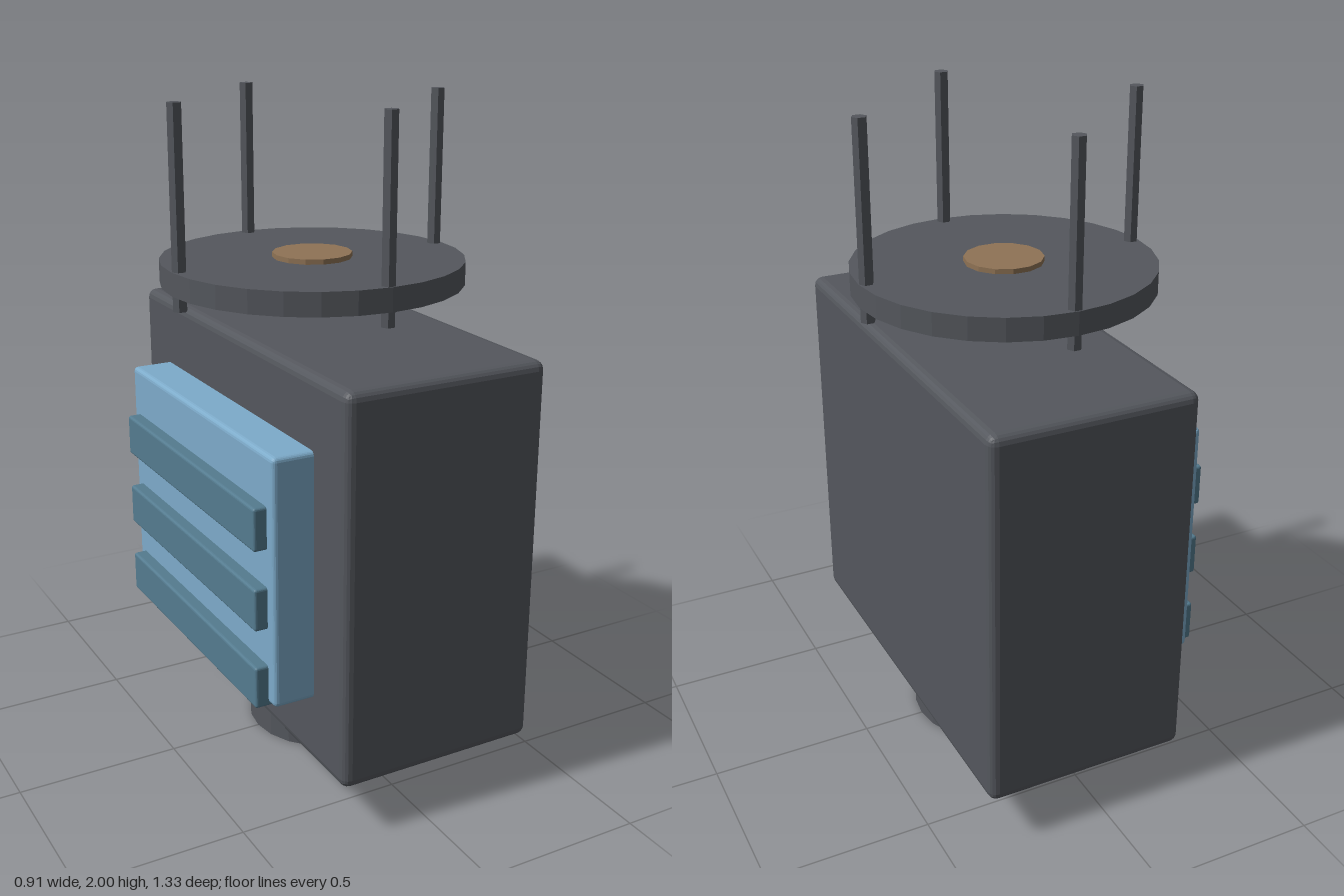
import * as THREE from 'three';
import { RoundedBoxGeometry } from 'three/addons/geometries/RoundedBoxGeometry.js';

export function createModel() {
  const model = new THREE.Group();
  model.name = 'machineBox';

  const material = (name, color, flatShading = false) => {
    const m = new THREE.MeshStandardMaterial({ color, flatShading });
    m.name = name;
    return m;
  };
  const darkGrey = material('darkGrey', 0x54575d, true);
  const lightBlue = material('lightBlue', 0x7dabca, true);
  const slateBlue = material('slateBlue', 0x547b8f, true);
  const bronze = material('bronze', 0x8f7355, true);

  const add = (name, geometry, mat) => {
    const mesh = new THREE.Mesh(geometry, mat);
    mesh.name = name;
    model.add(mesh);
    return mesh;
  };

  // Bevelled box given by its limits on each axis
  const block = (name, mat, [x0, x1], [y0, y1], [z0, z1], bevel) => {
    const geo = new RoundedBoxGeometry(x1 - x0, y1 - y0, z1 - z0, 2, bevel);
    add(name, geo, mat).position.set((x0 + x1) / 2, (y0 + y1) / 2, (z0 + z1) / 2);
  };

  // Upright faceted cylinder with a corner on the x axis
  const post = (name, mat, radius, sides, [y0, y1], x = 0, z = 0) => {
    const geo = new THREE.CylinderGeometry(radius, radius, y1 - y0, sides);
    geo.rotateY(Math.PI / 2);
    add(name, geo, mat).position.set(x, (y0 + y1) / 2, z);
  };

  // Main housing and the round foot beneath it
  block('housing', darkGrey, [-0.265, 0.37], [0.155, 1.327], [-0.667, 0.667], 0.028);
  post('foot', darkGrey, 0.253, 22, [0, 0.16], 0.052);

  // Side panel with three raised slats
  block('sidePanel', lightBlue, [-0.39, -0.25], [0.365, 1.117], [-0.494, 0.492], 0.014);
  for (const y of [0.42, 0.662, 0.903]) {
    block('slat', slateBlue, [-0.43, -0.26], [y - 0.064, y + 0.064], [-0.455, 0.453], 0.008);
  }

  // Floating disc, its hub and four upright rods
  post('disc', darkGrey, 0.454, 28, [1.46, 1.53]);
  post('hub', bronze, 0.119, 14, [1.387, 1.545]);
  for (let i = 0; i < 4; i++) {
    const a = (i * Math.PI) / 2;
    post('rod', darkGrey, 0.022, 6, [1.415, 2], 0.43 * Math.cos(a), 0.43 * Math.sin(a));
  }

  return model;
}
